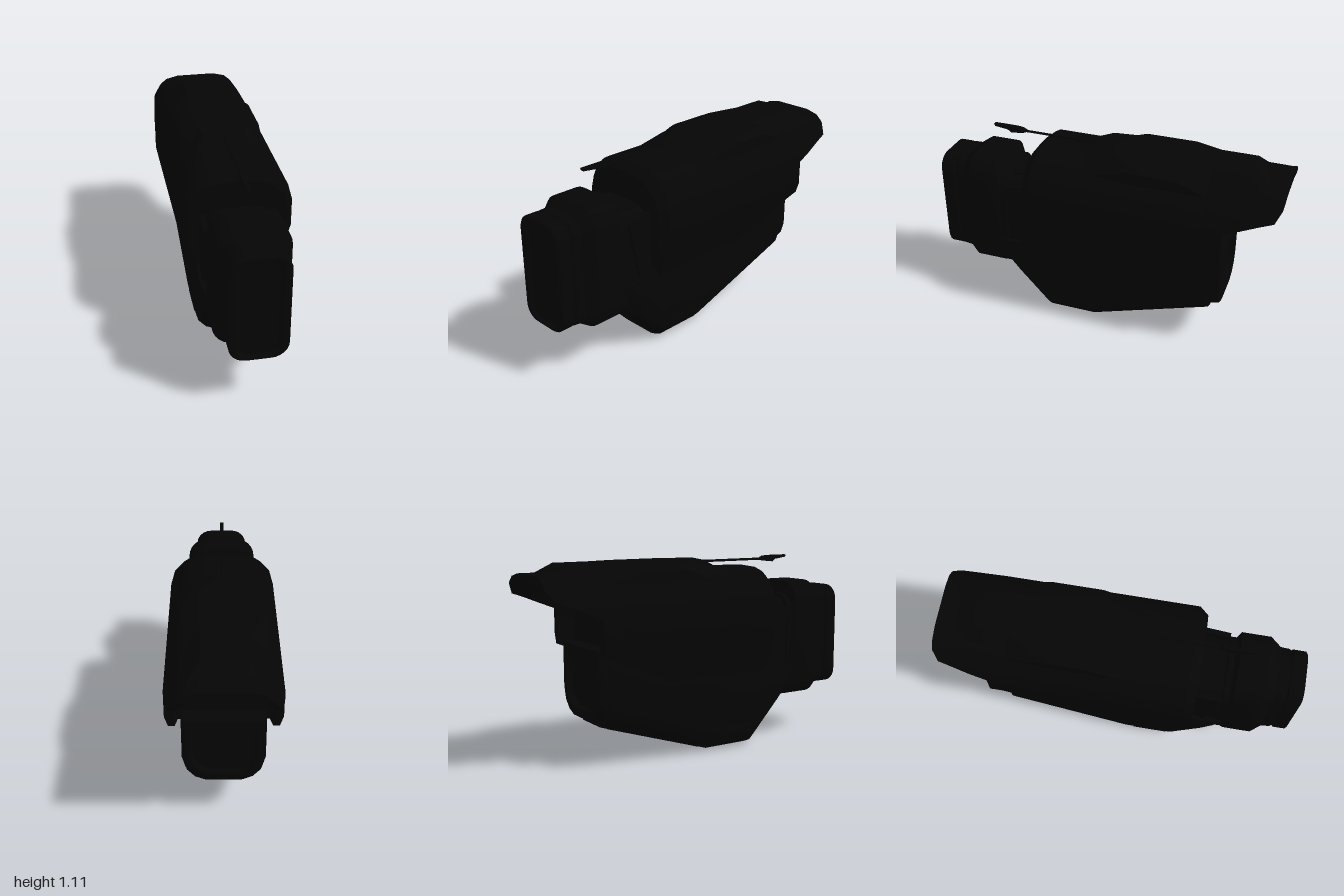
import * as THREE from 'three';
import { toCreasedNormals } from 'three/addons/utils/BufferGeometryUtils.js';

const material = new THREE.MeshStandardMaterial({ color: 0x050505 });

function add(group, name, geometry) {
  const mesh = new THREE.Mesh(geometry, material);
  mesh.name = name;
  group.add(mesh);
  return mesh;
}

// Joins closed counter-clockwise loops { z, pts } from front to back and caps both ends.
function loft(sections, crease = 0.5) {
  const pos = [];
  const put = (s, i) => pos.push(s.pts[i][0], s.pts[i][1], s.z);
  for (let k = 0; k < sections.length - 1; k++) {
    const a = sections[k], b = sections[k + 1], n = a.pts.length;
    for (let i = 0; i < n; i++) {
      const j = (i + 1) % n;
      put(a, i); put(b, i); put(a, j);
      put(a, j); put(b, i); put(b, j);
    }
  }
  const cap = (s, flip) => {
    const contour = s.pts.map(p => new THREE.Vector2(p[0], p[1]));
    for (const [a, b, c] of THREE.ShapeUtils.triangulateShape(contour, [])) {
      put(s, a); put(s, flip ? c : b); put(s, flip ? b : c);
    }
  };
  cap(sections[0], false);
  cap(sections[sections.length - 1], true);
  const g = new THREE.BufferGeometry();
  g.setAttribute('position', new THREE.Float32BufferAttribute(pos, 3));
  return toCreasedNormals(g, crease);
}

// Mirrors a right-hand profile that ends on the centre line
const mirror = half => [...half, ...half.slice(0, -1).reverse().map(([x, y]) => [-x, y])];

// Shell profiles: plain roof, roof with a centre ridge, roof with stepped shoulders
const SIDE = [[0.23, 0.46], [0.305, 0.7], [0.305, 0.86], [0.28, 0.95], [0.235, 1.0]];
const LOW = [...SIDE, [0.225, 1.012], [0.19, 1.035], [0.12, 1.055], [0, 1.06]];
const RIDGE = [...SIDE, [0.225, 1.012], [0.19, 1.042], [0.115, 1.108], [0, 1.115]];
const STEP = [...SIDE, [0.235, 1.065], [0.2, 1.09], [0.13, 1.11], [0, 1.115]];

// Shell profile cut off below yMin and above yMax
function shellHalf(profile, yMin, yMax = 2, sx = 1) {
  const k = Math.max(1, profile.findIndex(p => p[1] >= yMin));
  const [p, q] = [profile[k - 1], profile[k]];
  const cutX = p[0] + (q[0] - p[0]) * (yMin - p[1]) / (q[1] - p[1]);
  return profile.map(([x, y]) => y < yMin ? [cutX * sx, yMin] : [x * sx, Math.min(y, yMax)]);
}
const shellRing = (z, profile, yMin) => ({ z, pts: mirror(shellHalf(profile, yMin)) });

// Thin hood ring: outer outline followed by the inner one in reverse
function hoodRing(z, yMin, yMax, sx) {
  const outer = shellHalf(RIDGE, yMin, yMax, sx);
  const inner = outer.map(([x, y]) => [x * 0.88, Math.max(yMin, y - 0.04)]);
  return { z, pts: [...mirror(outer), ...mirror(inner).reverse()] };
}

// Lower body ring with a rounded underside
function keelRing(z, bottom, top, w = 0.225) {
  const s = w / 0.225;
  const low = [[0.1, 0], [0.16, 0.025], [0.205, 0.075], [0.225, 0.15]];
  const right = low.map(([x, y]) => [x * s, bottom + y * s]);
  right.push([w, top]);
  return { z, pts: [...right, ...right.slice().reverse().map(([x, y]) => [-x, y])] };
}

// Rounded rectangle ring
function roundRing(z, w, y0, y1, r) {
  const pts = [];
  const corners = [[w - r, y1 - r], [r - w, y1 - r], [r - w, y0 + r], [w - r, y0 + r]];
  corners.forEach(([cx, cy], c) => {
    for (let i = 0; i <= 6; i++) {
      const a = (c + i / 6) * Math.PI / 2;
      pts.push([cx + r * Math.cos(a), cy + r * Math.sin(a)]);
    }
  });
  return { z, pts };
}

// Side-view outline of [z, y] points given a width across x
function sidePlate(points, width, x) {
  const shape = new THREE.Shape(points.map(([z, y]) => new THREE.Vector2(-z, y)));
  const g = new THREE.ExtrudeGeometry(shape, { depth: width, bevelEnabled: false });
  return g.translate(0, 0, -width / 2).rotateY(Math.PI / 2).translate(x, 0, 0);
}

export function createModel() {
  const model = new THREE.Group();
  model.name = 'pod';

  // Upper shell: chamfered front, ramp up to the ridge, stepped shoulders in the middle
  const front = LOW.map(([x, y]) => [x * 0.88, 0.72 + (y - 0.72) * 0.88]);
  front[0] = [0.2, 0.47];
  add(model, 'upperShell', loft([
    { z: 0.43, pts: mirror(front) },
    shellRing(0.38, LOW, 0.46),
    shellRing(0.13, LOW, 0.46),
    shellRing(0.02, RIDGE, 0.46),
    shellRing(-0.15, STEP, 0.46),
    shellRing(-0.27, STEP, 0.46),
    shellRing(-0.44, STEP, 0.533),
    shellRing(-0.6, RIDGE, 0.6)
  ]));

  // Overhanging hollow hood at the back
  add(model, 'rearHood', loft([
    hoodRing(-0.6, 0.6, 2, 1),
    hoodRing(-0.71, 0.64, 2, 1),
    hoodRing(-0.71, 0.84, 2, 1),
    hoodRing(-0.8, 0.875, 2, 0.99),
    hoodRing(-0.9, 0.915, 1.06, 0.98),
    hoodRing(-0.97, 0.94, 1.06, 0.97),
    hoodRing(-1, 1.0, 1.06, 1)
  ]));

  // Lower body with a recessed back panel
  add(model, 'lowerBody', loft([
    keelRing(0.61, 0.3, 0.46, 0.2),
    keelRing(0.57, 0.26, 0.46, 0.212),
    keelRing(0.5, 0.187, 0.47, 0.222),
    keelRing(0.325, 0.003, 0.6),
    keelRing(0.05, 0.003, 0.6),
    keelRing(-0.64, 0.225, 0.66),
    keelRing(-0.64, 0.25, 0.66, 0.215),
    keelRing(-0.7, 0.265, 0.66, 0.215),
    keelRing(-0.705, 0.28, 0.65, 0.2),
    keelRing(-0.705, 0.31, 0.6, 0.175),
    keelRing(-0.67, 0.32, 0.59, 0.165)
  ]));

  // Front nozzle with groove and shallow recess
  add(model, 'nozzle', loft([
    roundRing(0.98, 0.1, 0.335, 0.875, 0.05),
    roundRing(0.998, 0.12, 0.32, 0.89, 0.06),
    roundRing(1, 0.145, 0.313, 0.91, 0.08),
    roundRing(0.99, 0.157, 0.305, 0.92, 0.09),
    roundRing(0.92, 0.157, 0.305, 0.92, 0.09),
    roundRing(0.91, 0.15, 0.312, 0.913, 0.09),
    roundRing(0.9, 0.157, 0.305, 0.92, 0.09),
    roundRing(0.85, 0.16, 0.3, 0.92, 0.09),
    roundRing(0.79, 0.205, 0.263, 0.96, 0.12),
    roundRing(0.63, 0.205, 0.263, 0.96, 0.12),
    roundRing(0.61, 0.195, 0.263, 0.89, 0.11),
    roundRing(0.575, 0.195, 0.263, 0.89, 0.11),
    roundRing(0.57, 0.185, 0.27, 0.868, 0.1),
    roundRing(0.38, 0.185, 0.3, 0.868, 0.1)
  ]));

  for (const s of [-1, 1]) {
    // Cheek plates beside the neck
    add(model, 'cheekPlate', sidePlate(
      [[0.4, 0.85], [0.575, 0.82], [0.505, 0.48], [0.4, 0.465]], 0.03, s * 0.192));
    // Small vents on the neck and strips on the lower sides
    add(model, 'neckVent', new THREE.BoxGeometry(0.08, 0.02, 0.09)).position.set(s * 0.07, 0.863, 0.51);
    add(model, 'sideStrip', new THREE.BoxGeometry(0.01, 0.015, 0.2)).position.set(s * 0.219, 0.14, 0.2);
  }

  // Thin panels on the sloping chin and keel
  const chin = add(model, 'chinPanel', new THREE.BoxGeometry(0.2, 0.008, 0.28));
  chin.position.set(0, 0.114, 0.43);
  chin.rotation.x = -Math.atan2(0.257, 0.245);
  const keel = add(model, 'keelPanel', new THREE.BoxGeometry(0.18, 0.008, 0.62));
  keel.position.set(0, 0.115, -0.295);
  keel.rotation.x = Math.atan2(0.222, 0.69);

  // Antenna with a flattened tip
  const rod = add(model, 'antennaRod', new THREE.CylinderGeometry(0.007, 0.007, 0.5, 8));
  rod.rotation.x = Math.PI / 2;
  rod.position.set(0, 1.092, 0.31);
  add(model, 'antennaTip', sidePlate(
    [[0.705, 1.112], [0.7, 1.098], [0.62, 1.088], [0.6, 1.073], [0.53, 1.08],
      [0.5, 1.092], [0.53, 1.108], [0.57, 1.112]], 0.022, 0));
  return model;
}
